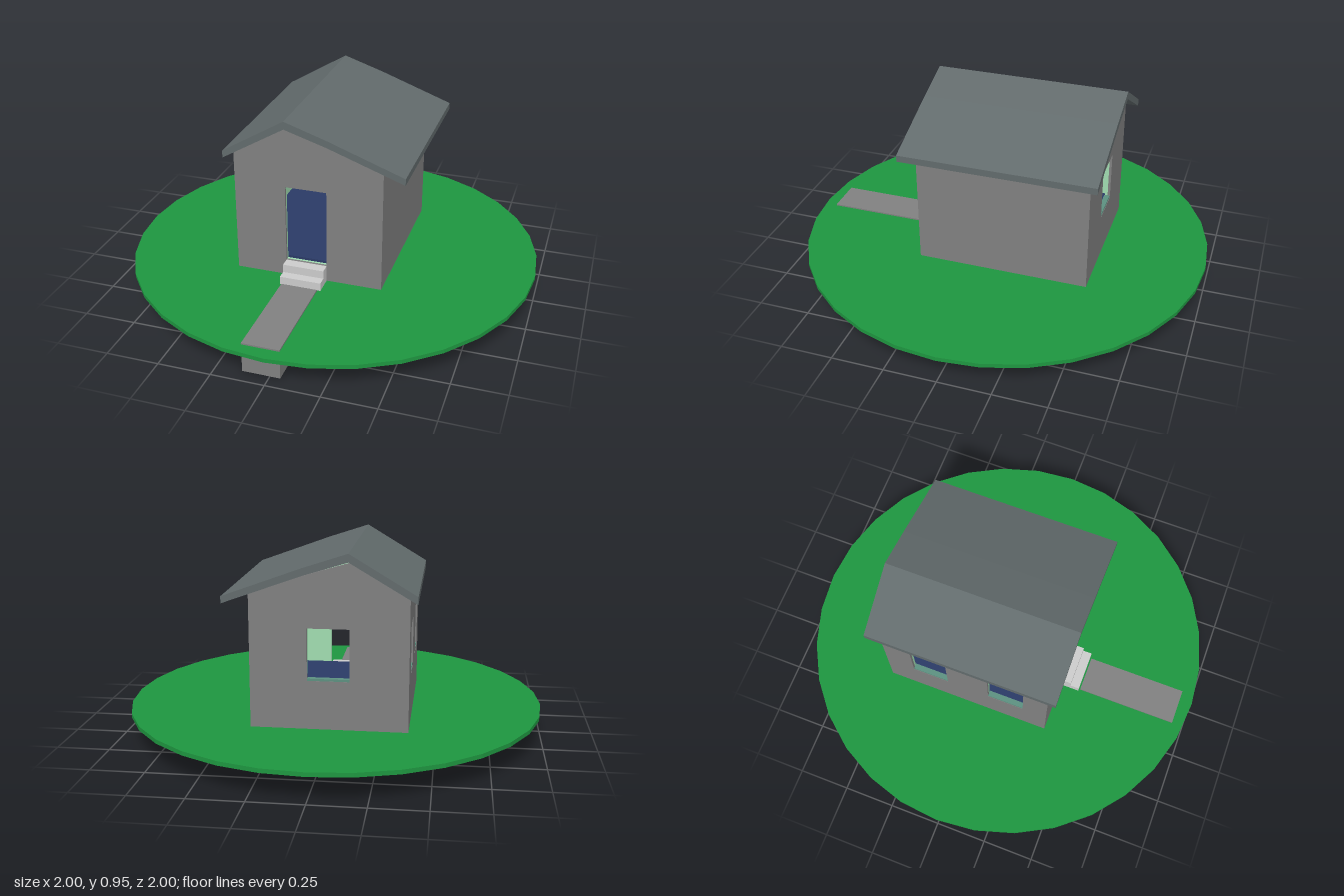
import * as THREE from 'three';

const mat = (color) => new THREE.MeshStandardMaterial({ color, flatShading: true });

export function createModel() {
  const group = new THREE.Group();
  const wallMat = mat(0x808080), roofMat = mat(0x626b6c), pathMat = mat(0x808080);
  const grass = mat(0x1e9640), lining = mat(0xa0dcb0), sillMat = mat(0x5c9080);
  const navy = mat(0x2a3a66), stepMat = mat(0xcccccc);

  const add = (name, geo, material) => {
    const m = new THREE.Mesh(geo, material);
    m.name = name;
    group.add(m);
    return m;
  };
  // box given by its min and max on each axis
  const box = (name, [x0, x1], [y0, y1], [z0, z1], material) => {
    const m = add(name, new THREE.BoxGeometry(x1 - x0, y1 - y0, z1 - z0), material);
    m.position.set((x0 + x1) / 2, (y0 + y1) / 2, (z0 + z1) / 2);
    return m;
  };
  // flat panel with rectangular holes [x0, x1, y0, y1], extruded along z
  const panel = (name, pts, holes, depth, z, material) => {
    const shape = new THREE.Shape(pts.map(([x, y]) => new THREE.Vector2(x, y)));
    for (const [x0, x1, y0, y1] of holes) {
      shape.holes.push(new THREE.Path([[x0, y0], [x0, y1], [x1, y1], [x1, y0]]
        .map(([x, y]) => new THREE.Vector2(x, y))));
    }
    const m = add(name, new THREE.ExtrudeGeometry(shape, { depth, bevelEnabled: false }), material);
    m.position.z = z;
    return m;
  };

  // round lawn
  add('lawn', new THREE.CylinderGeometry(1, 1, 0.02, 32), grass).position.y = 0.13;

  // house shell: outer walls with an inner lining
  const X0 = -0.385, X1 = 0.33, Z0 = -0.49, Z1 = 0.34, Y0 = 0.14, T = 0.012;
  const door = [-0.137, 0.063, 0.22, 0.605];
  const backWindow = [-0.12, 0.07, 0.365, 0.605];
  const sideWindows = [[-0.35, -0.17, 0.365, 0.605], [0.04, 0.22, 0.365, 0.605]];
  const gable = (i) => [[X0 + i, Y0], [X1 - i, Y0], [X1 - i, 0.757], [0.08, 0.842], [-0.12, 0.9], [X0 + i, 0.75]];
  const side = (i, top) => [[Z0 + i, Y0], [Z1 - i, Y0], [Z1 - i, top], [Z0 + i, top]];

  panel('frontWall', gable(0), [door], T, Z1 - T, wallMat);
  panel('frontLining', gable(T), [door], T, Z1 - 2 * T, lining);
  panel('backWall', gable(0), [backWindow], T, Z0, wallMat);
  panel('backLining', gable(T), [backWindow], T, Z0 + T, lining);

  // side panels turn so that the shape's x runs along +z and its depth along -x
  const sidePanel = (name, x, inset, top, holes, material) => {
    const m = panel(name, side(inset, top), holes, T, 0, material);
    m.rotation.y = -Math.PI / 2;
    m.position.x = x;
  };
  sidePanel('windowWall', X0 + T, T, 0.75, sideWindows, wallMat);
  sidePanel('windowLining', X0 + 2 * T, 2 * T, 0.75, sideWindows, lining);
  sidePanel('plainWall', X1, T, 0.757, [], wallMat);
  sidePanel('plainLining', X1 - T, 2 * T, 0.757, [], lining);

  // window sills
  box('backSill', [-0.12, 0.07], [0.36, 0.375], [Z0 + 0.002, Z0 + 2 * T + 0.004], sillMat);
  for (const [z0, z1] of sideWindows) {
    box('sideSill', [X0 + 0.002, X0 + 2 * T + 0.004], [0.36, 0.375], [z0, z1], sillMat);
  }

  // floor and ceiling
  box('floor', [X0 + 2 * T, X1 - 2 * T], [0.215, 0.232], [Z0 + 2 * T, Z1 - 2 * T], navy);
  panel('ceiling', [[X0 + T, 0.75], [X0 + T, 0.738], [-0.12, 0.886], [0.08, 0.828], [X1 - T, 0.745],
    [X1 - T, 0.757], [0.08, 0.842], [-0.12, 0.9]], [], Z1 - Z0 - 4 * T, Z0 + 2 * T, lining);

  // roof with an off-centre ridge
  panel('roof', [[-0.42, 0.77], [-0.42, 0.735], [-0.12, 0.912], [0.08, 0.85], [0.44, 0.72],
    [0.44, 0.752], [0.08, 0.884], [-0.12, 0.95]], [], 0.93, -0.545, roofMat);

  // entrance steps and path
  box('upperStep', [-0.137, 0.063], [Y0, 0.22], [Z1, 0.39], stepMat);
  box('lowerStep', [-0.137, 0.063], [Y0, 0.18], [0.39, 0.435], stepMat);
  box('path', [-0.128, 0.048], [0, 0.147], [0.442, 0.935], pathMat);

  return group;
}
